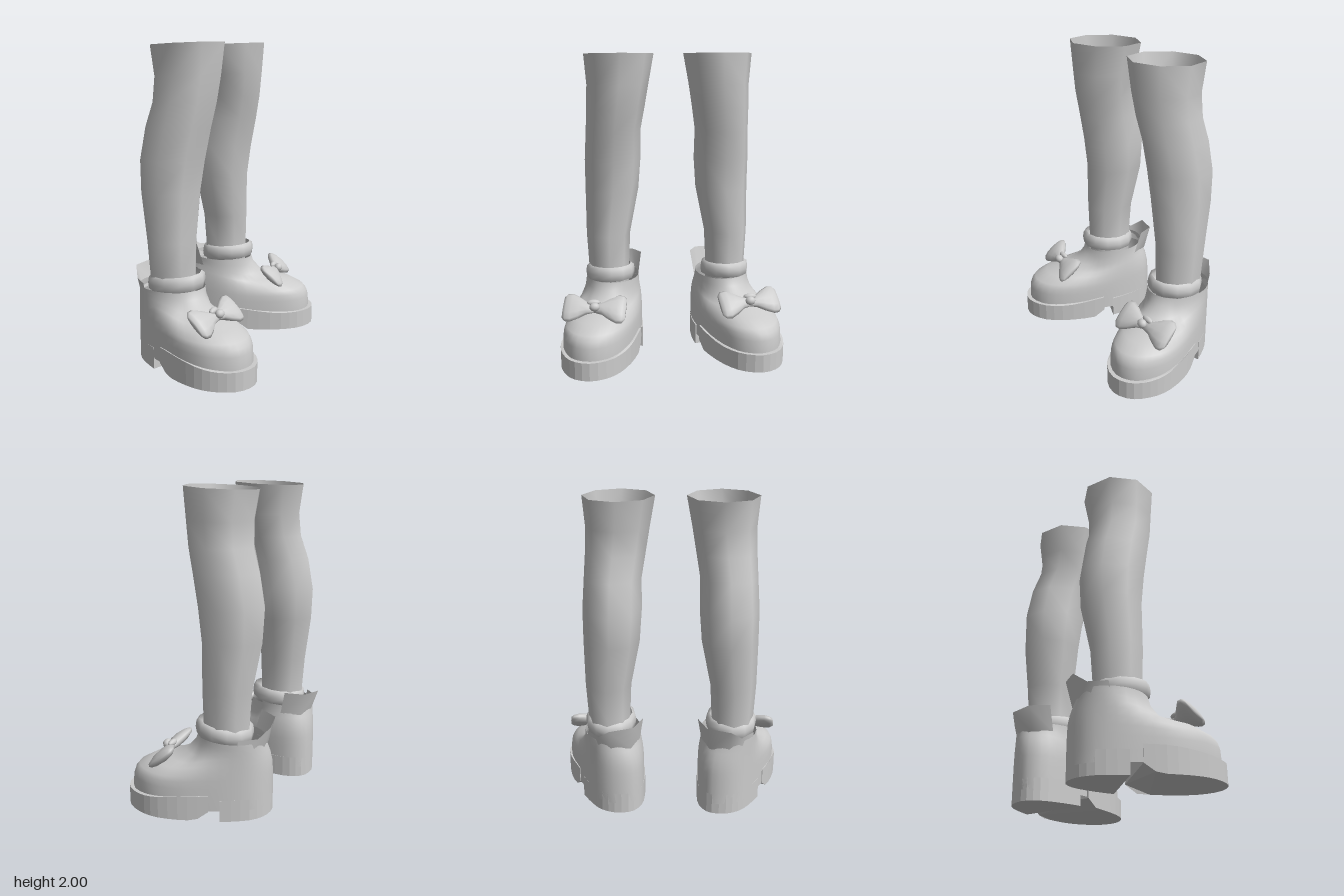
import * as THREE from 'three';

const V = (x, y, z) => new THREE.Vector3(x, y, z);
const grey = new THREE.MeshStandardMaterial({ color: 0xcccccc, side: THREE.DoubleSide });
grey.name = 'plain grey';

// Skin a stack of equal-length rings, with optional end caps
function loft(rings, capped = false) {
  const n = rings[0].length, pos = [], idx = [];
  rings.forEach(r => r.forEach(p => pos.push(p.x, p.y, p.z)));
  for (let j = 0; j < rings.length - 1; j++) for (let i = 0; i < n; i++) {
    const a = j * n + i, b = j * n + (i + 1) % n;
    idx.push(a, a + n, b, b, a + n, b + n);
  }
  const cap = (j, end) => {
    const c = rings[j].reduce((s, p) => s.add(p), V(0, 0, 0)).divideScalar(n), k = pos.length / 3;
    pos.push(c.x, c.y, c.z);
    for (let i = 0; i < n; i++) {
      const a = j * n + i, b = j * n + (i + 1) % n;
      idx.push(k, end ? b : a, end ? a : b);
    }
  };
  if (capped) {
    cap(0, false);
    cap(rings.length - 1, true);
  }
  return surface(pos, idx);
}

function surface(pos, idx) {
  const g = new THREE.BufferGeometry();
  g.setAttribute('position', new THREE.Float32BufferAttribute(pos, 3));
  g.setIndex(idx);
  g.computeVertexNormals();
  return g;
}

// Level ellipse given by its extents; tilt raises it towards +x
function ring(y, x0, x1, z0, z1, n, tilt = 0) {
  return Array.from({ length: n }, (_, i) => {
    const a = i / n * Math.PI * 2, c = Math.cos(a);
    const x = (x0 + x1) / 2 + c * (x1 - x0) / 2;
    return V(x, y + tilt * c, (z0 + z1) / 2 + Math.sin(a) * (z1 - z0) / 2);
  });
}

// Outline of the sole, from the toe round the outer side to the heel and back
const outline = new THREE.CatmullRomCurve3([
  [.45, .55], [.40, .66], [.29, .72], [.17, .735], [.02, .70], [-.12, .635], [-.27, .55], [-.38, .46],
  [-.425, .36], [-.41, .25], [-.33, .19], [-.2, .175], [-.05, .185], [.12, .235], [.3, .32], [.41, .42],
].map(([x, z]) => V(x, 0, z)), true).getPoints(40).slice(0, 40);

// Leg
function legGeometry() {
  return loft([
    [.3, -.31, -.02, .27, .53], [.6, -.32, -.01, .265, .54], [.8, -.335, -.005, .255, .55],
    [1.1, -.385, .01, .195, .55], [1.3, -.395, .04, .18, .55], [1.5, -.36, .08, .18, .538],
    [1.65, -.31, .11, .155, .53], [1.8, -.3, .13, .13, .525], [1.99, -.33, .15, .095, .54],
  ].map(([y, ...e], i) => ring(y, ...e, 8, i === 8 ? .01 : 0)));
}

// Rolled band round the ankle
function bandGeometry() {
  return loft([[.485, .02], [.495, 0], [.535, -.006], [.572, 0], [.585, .02]]
    .map(([y, d]) => ring(y, -.325 + d, .035 - d, .235 + d, .555 - d, 12, .015)));
}

// Shoe upper: every column runs from the sole outline over to the collar
function upperGeometry() {
  const cx = -.185, cz = .38;
  const steps = [[0, .07, .07], [0, .14, .14], [.01, .21, .22], [.04, .25, .28], [.1, .28, .33],
    [.3, .325, .38], [.56, .345, .42], [.82, .385, .455], [.96, .45, .48], [1, .5, .5]];
  return loft(steps.map(([t, yToe, yHeel]) => outline.map(p => {
    const w = THREE.MathUtils.smoothstep(p.x, -.35, .15), s = 1 - .06 * w;
    const a = Math.atan2(p.z - cz, p.x - cx);
    const from = V(p.x * s, 0, .45 + (p.z - .45) * s);
    const to = V(cx + Math.cos(a) * .215, 0, cz + Math.sin(a) * .18);
    const q = from.lerp(to, t);
    q.y = THREE.MathUtils.lerp(yHeel, yToe, w);
    return q;
  })));
}

// Sole and heel block: the outline cut across the foot, with the arch lifted
const along = p => p.x * .94 + p.z * .35;
function slab(keep, y0, y1, rule) {
  const shape = new THREE.Shape(outline.filter(keep).map(p => new THREE.Vector2(p.x, p.z)));
  const g = new THREE.ExtrudeGeometry(shape, { depth: y1 - y0, bevelEnabled: false });
  g.rotateX(Math.PI / 2).translate(0, y1, 0);
  const p = g.attributes.position;
  for (let i = 0; i < p.count; i++) {
    const q = V(0, 0, 0).fromBufferAttribute(p, i);
    p.setY(i, rule(q, q.y > (y0 + y1) / 2));
  }
  g.computeVertexNormals();
  return g;
}
const soleGeometry = () => slab(p => along(p) > .06, .01, .13,
  (q, top) => top ? .13 + .04 * THREE.MathUtils.smoothstep(-q.x, -.35, .1)
    : .01 + .06 * THREE.MathUtils.smoothstep(-along(q), -.17, -.06));
const heelGeometry = () => slab(p => along(p) < .03, 0, .14, q => q.y);

// Flared flap standing at the back of the collar
function flapGeometry() {
  const low = [[-.29, .45, .53], [-.37, .44, .46], [-.4, .44, .37], [-.375, .44, .25], [-.25, .45, .2]];
  const high = [[-.31, .53, .53], [-.4, .53, .45], [-.45, .59, .38], [-.41, .6, .23], [-.29, .61, .175]];
  const idx = [];
  for (let i = 0; i < 4; i++) idx.push(i, i + 5, i + 1, i + 1, i + 5, i + 6);
  return surface([...low, ...high].flat(), idx);
}

// Bow: two puffed wings lying on the sloping toe, and a knot
function wingGeometry(dir) {
  const g = loft([[0, .03, .02], [.05, .042, .03], [.1, .075, .036], [.15, .1, .036], [.185, .098, .03],
    [.205, .075, .014]].map(([u, w, h]) => ring(u, -w, w, -h, h, 12)), true);
  const across = V(-.2, 0, .98).normalize().multiplyScalar(dir);
  const down = V(.74, -.65, .15).normalize();
  const out = down.clone().cross(across);
  return g.applyMatrix4(new THREE.Matrix4().makeBasis(down, across, out).setPosition(.18, .385, .51));
}
function knotGeometry(x, y, z, r, long) {
  return new THREE.SphereGeometry(r, 12, 8).scale(1, 1, long).translate(x, y, z);
}

// Mirror a part to the other leg, keeping faces outward
function mirrored(g) {
  const m = g.clone();
  if (!m.index) m.setIndex([...Array(m.attributes.position.count).keys()]);
  m.scale(1, 1, -1);
  const a = m.index.array;
  for (let i = 0; i < a.length; i += 3) [a[i + 1], a[i + 2]] = [a[i + 2], a[i + 1]];
  m.computeVertexNormals();
  return m;
}

export function createModel() {
  const model = new THREE.Group();
  model.name = 'pair of legs in bow shoes';
  const parts = {
    leg: legGeometry(), ankleBand: bandGeometry(), shoeUpper: upperGeometry(), sole: soleGeometry(),
    heel: heelGeometry(), heelFlap: flapGeometry(), outerBowWing: wingGeometry(1), innerBowWing: wingGeometry(-1),
    bowKnot: knotGeometry(.205, .405, .51, .028, 1.2), bowLoop: knotGeometry(.165, .42, .515, .02, 2.2),
  };
  for (const front of [true, false]) {
    const group = new THREE.Group();
    group.name = front ? 'frontLegAndShoe' : 'backLegAndShoe';
    for (const [name, g] of Object.entries(parts)) {
      const mesh = new THREE.Mesh(front ? g : mirrored(g), grey);
      mesh.name = name;
      group.add(mesh);
    }
    model.add(group);
  }
  return model;
}
